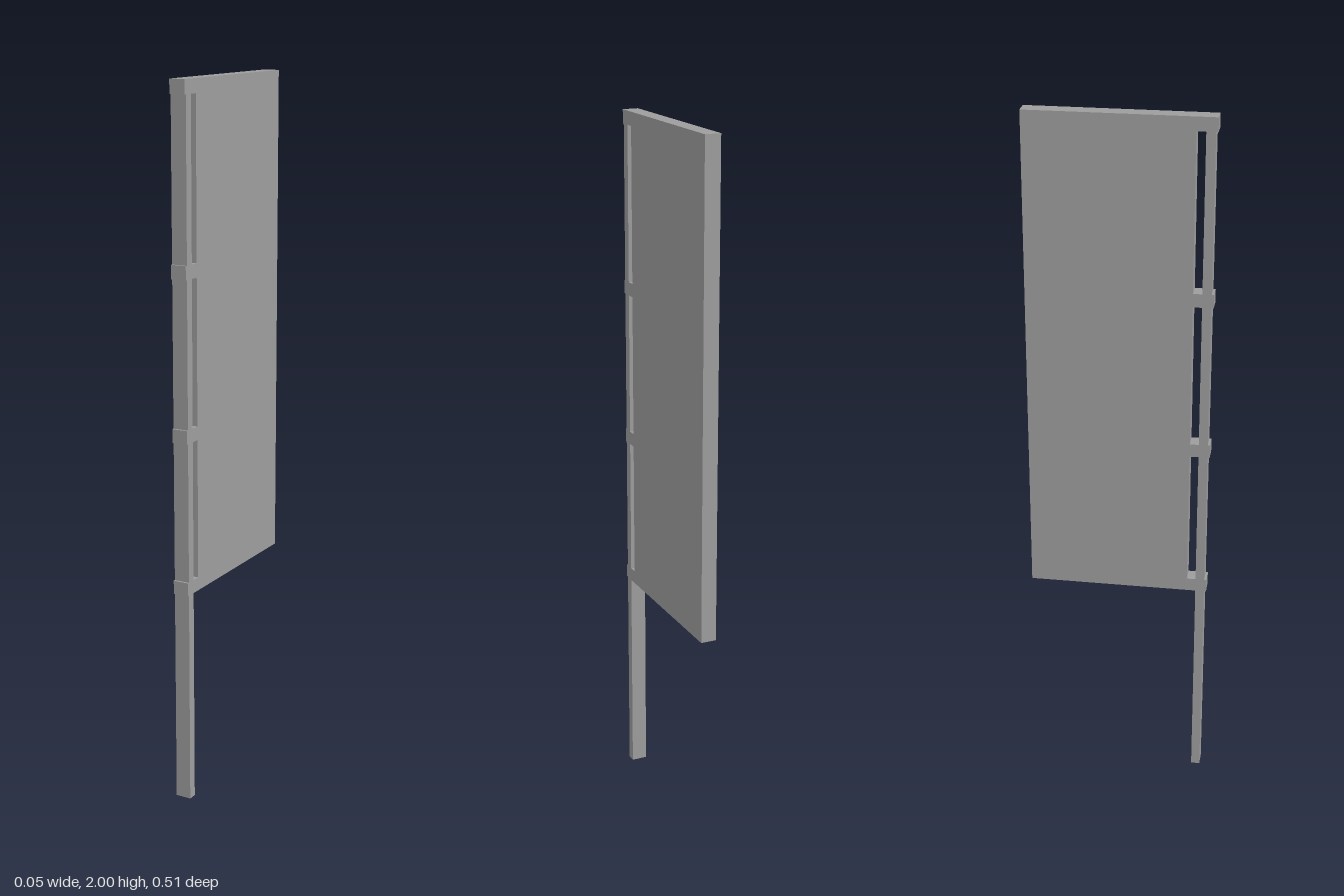
import * as THREE from 'three';

export function createModel() {
  const group = new THREE.Group();
  const material = new THREE.MeshStandardMaterial({ color: 0x9d9d9d, flatShading: true });
  const width = 0.045;

  // Box given by its y and z ranges, centred on x = 0
  function addBox(name, y0, y1, z0, z1) {
    const mesh = new THREE.Mesh(new THREE.BoxGeometry(width, y1 - y0, z1 - z0), material);
    mesh.name = name;
    mesh.position.set(0, (y0 + y1) / 2, (z0 + z1) / 2);
    group.add(mesh);
  }

  // Upright pole at the front edge
  addBox('pole', 0, 2, 0.224, 0.249);

  // Tall banner panel behind the pole
  addBox('bannerPanel', 0.613, 2, -0.255, 0.199);

  // Four straps joining the panel to the pole
  [0.632, 1.063, 1.506, 1.981].forEach((y, i) => {
    addBox(`strap${i + 1}`, y - 0.019, y + 0.019, 0.199, 0.255);
  });

  return group;
}
